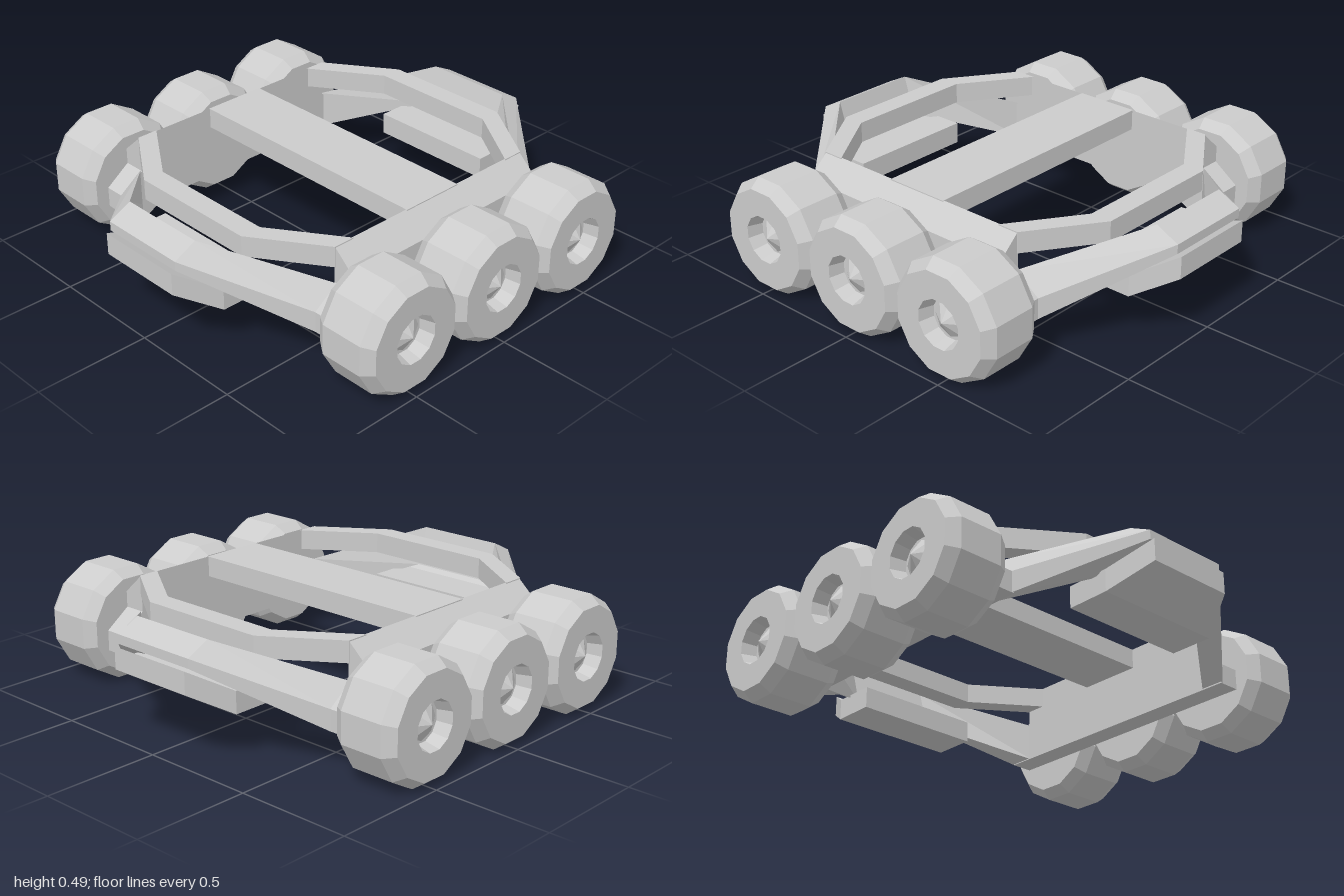
import * as THREE from 'three';

const material = new THREE.MeshStandardMaterial({ color: 0xcccccc, flatShading: true });

// Skin a run of equal-length cross-sections; corners run counter-clockwise seen from the far end
function loft(name, sections) {
  const pos = [];
  const tri = (a, b, c) => pos.push(...a, ...b, ...c);
  const n = sections[0].length;
  for (let i = 0; i < sections.length - 1; i++) {
    const a = sections[i], b = sections[i + 1];
    for (let j = 0; j < n; j++) {
      const k = (j + 1) % n;
      tri(a[j], a[k], b[k]);
      tri(a[j], b[k], b[j]);
    }
  }
  const first = sections[0], last = sections[sections.length - 1];
  for (let j = 1; j < n - 1; j++) {
    tri(first[0], first[j + 1], first[j]);
    tri(last[0], last[j], last[j + 1]);
  }
  const geometry = new THREE.BufferGeometry();
  geometry.setAttribute('position', new THREE.Float32BufferAttribute(pos, 3));
  geometry.computeVertexNormals();
  const mesh = new THREE.Mesh(geometry, material);
  mesh.name = name;
  return mesh;
}

// Section across x from [z, y] corners, and section across z from [x, y] corners
const atX = (x, pts) => pts.map(([z, y]) => [x, y, z]);
const atZ = (z, pts) => pts.map(([x, y]) => [x, y, z]);

function createWheel() {
  const wheel = new THREE.Group();
  wheel.name = 'wheel';
  const c = 1 / Math.cos(Math.PI / 12);
  const profile = [
    [0, -0.145], [0.21, -0.145], [0.245, -0.095], [0.245, 0.095],
    [0.21, 0.145], [0.1, 0.145], [0.085, 0.08], [0, 0.08],
  ].map(([r, y]) => new THREE.Vector2(r * c, y));
  const tire = new THREE.Mesh(new THREE.LatheGeometry(profile, 12, Math.PI / 12), material);
  tire.name = 'tire';
  const hub = new THREE.Mesh(new THREE.ConeGeometry(0.078, 0.05, 8), material);
  hub.name = 'hubCone';
  hub.position.y = 0.105;
  wheel.add(tire, hub);
  wheel.rotation.z = -Math.PI / 2;
  return wheel;
}

// One end of the frame plus one side; a half turn gives the rest
function createHalf(name) {
  const half = new THREE.Group();
  half.name = name;

  // Bumper bar rising from the rail ends to a raised middle
  const low = [[0.53, 0.33], [0.64, 0.25], [0.64, 0.16], [0.53, 0.16]];
  const high = [[0.88, 0.49], [0.98, 0.44], [0.98, 0.4], [0.83, 0.32]];
  half.add(loft('bumperBar', [atX(-0.6, low), atX(-0.2, high), atX(0.2, high), atX(0.6, low)]));

  // Flat upper frame bar
  const bar = (z) => [[z, 0.49], [z + 0.095, 0.49], [z + 0.095, 0.4], [z, 0.4]];
  half.add(loft('upperFrameBar', [
    atX(-0.595, bar(0.437)), atX(-0.295, bar(0.64)), atX(0.295, bar(0.64)), atX(0.595, bar(0.437)),
  ]));

  // Skid plate with upturned, narrowed nose
  const plate = (w, y) => [[-w, y], [w, y], [w, y + 0.095], [-w, y + 0.095]];
  half.add(loft('skidPlate', [
    atZ(0.64, plate(0.295, 0.2)), atZ(0.83, plate(0.295, 0.2)), atZ(1, plate(0.2, 0.3)),
  ]));

  // Side rail with sloped top and stepped ends
  const rail = (outer, inner) => [[0.59, 0.16], [0.69, 0.16], [0.69, outer], [0.59, inner]];
  half.add(loft('sideRail', [
    atZ(-0.64, rail(0.25, 0.25)), atZ(-0.53, rail(0.33, 0.33)), atZ(-0.53, rail(0.4, 0.49)),
    atZ(0.53, rail(0.4, 0.49)), atZ(0.53, rail(0.33, 0.33)), atZ(0.64, rail(0.25, 0.25)),
  ]));

  // Row of three wheels
  for (const z of [-0.49, 0, 0.49]) {
    const wheel = createWheel();
    wheel.position.set(0.835, 0.245, z);
    half.add(wheel);
  }
  return half;
}

export function createModel() {
  const model = new THREE.Group();
  model.name = 'sixWheelChassis';

  const front = createHalf('frontAndLeftFrame');
  const back = createHalf('backAndRightFrame');
  back.rotation.y = Math.PI;

  // Middle cross member between the rails
  const cross = new THREE.Mesh(new THREE.BoxGeometry(1.19, 0.09, 0.29), material);
  cross.name = 'crossMember';
  cross.position.y = 0.445;

  model.add(front, back, cross);
  return model;
}
